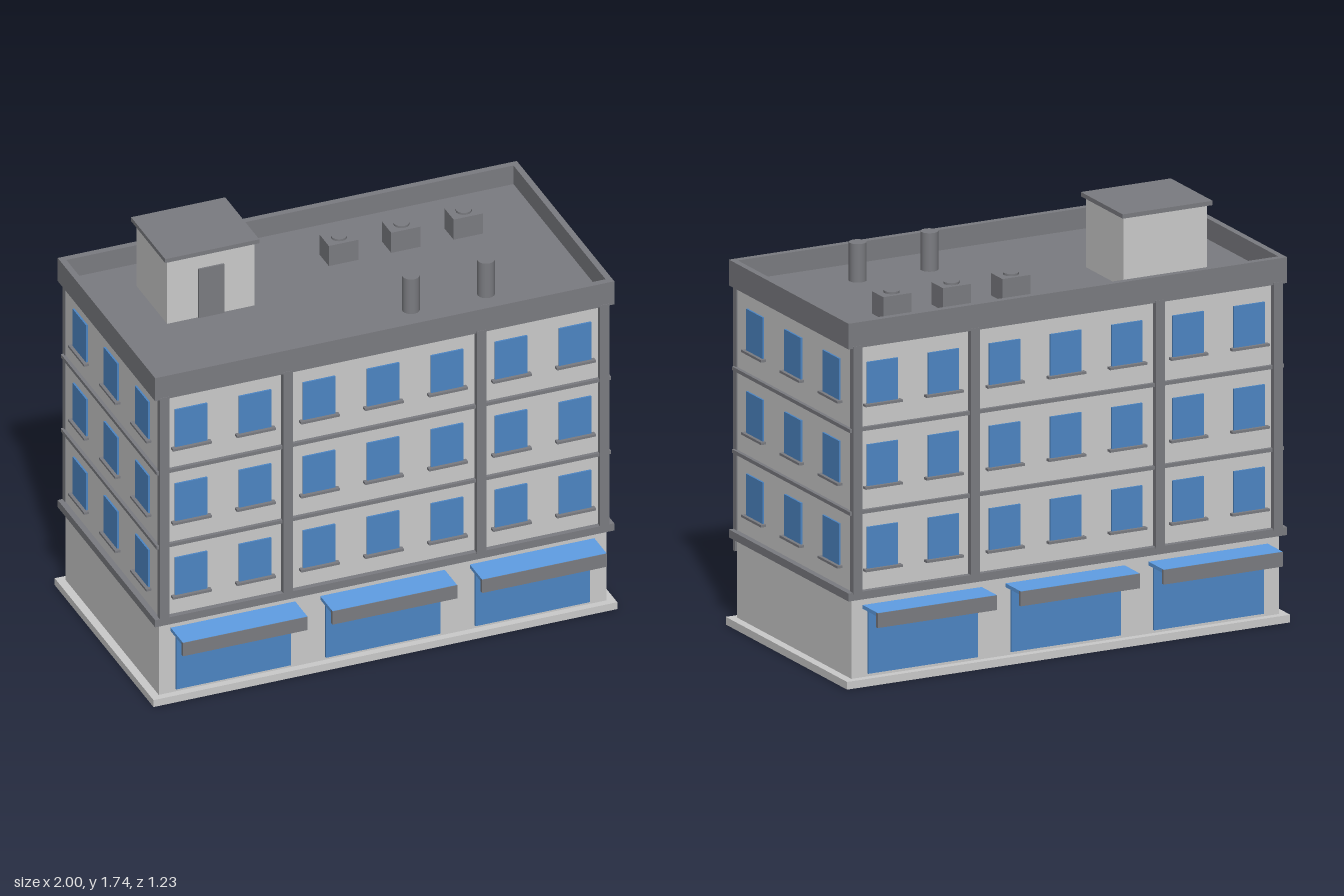
import * as THREE from 'three';

const wallMat = new THREE.MeshStandardMaterial({ color: 0xcccccc });
const trimMat = new THREE.MeshStandardMaterial({ color: 0x7b7c81 });
const glassMat = new THREE.MeshStandardMaterial({ color: 0x4d86c4 });
const awningMat = new THREE.MeshStandardMaterial({ color: 0x5f9fe5 });

// Box given by its [min, max] extent along each axis
function box(parent, name, mat, [x0, x1], [y0, y1], [z0, z1]) {
  const mesh = new THREE.Mesh(new THREE.BoxGeometry(x1 - x0, y1 - y0, z1 - z0), mat);
  mesh.position.set((x0 + x1) / 2, (y0 + y1) / 2, (z0 + z1) / 2);
  mesh.name = name;
  parent.add(mesh);
  return mesh;
}

function cylinder(parent, name, mat, r, sides, x, [y0, y1], z) {
  const mesh = new THREE.Mesh(new THREE.CylinderGeometry(r, r, y1 - y0, sides), mat);
  mesh.position.set(x, (y0 + y1) / 2, z);
  mesh.name = name;
  parent.add(mesh);
  return mesh;
}

const sym = (v) => [-v, v];
const around = (c, w) => [c - w / 2, c + w / 2];

const WX = 0.965, WZ = 0.485;          // wall half sizes
const SILLS = [0.483, 0.826, 1.169];   // window bottoms per floor

// Three rows of windows with sills on a facade lying at local z = depth
function addWindows(facade, depth, centres) {
  for (const y of SILLS) for (const x of centres) {
    box(facade, 'window', glassMat, around(x, 0.139), [y, y + 0.172], [depth - 0.01, depth + 0.008]);
    box(facade, 'windowSill', trimMat, around(x, 0.168), [y - 0.01, y], [depth - 0.01, depth + 0.022]);
  }
}

// Long facade: shopfronts, awnings, windows and pilasters
function longFacade(name) {
  const f = new THREE.Group();
  f.name = name;
  addWindows(f, WZ, [-3, -2, -1, 0, 1, 2, 3].map((i) => i * 0.276));
  for (const x of [-0.645, 0, 0.645]) {
    box(f, 'shopWindow', glassMat, around(x, 0.495), [0.045, 0.305], [WZ - 0.01, WZ + 0.008]);
    box(f, 'awningTop', awningMat, around(x, 0.537), [0.316, 0.332], [WZ - 0.01, 0.612]);
    box(f, 'awningValance', trimMat, around(x, 0.538), [0.27, 0.331], [0.6, 0.614]);
  }
  for (const x of [-0.949, -0.417, 0.417, 0.949])
    box(f, 'pilaster', trimMat, around(x, 0.041), [0.39, 1.42], [WZ - 0.003, 0.51]);
  return f;
}

function sideFacade(name) {
  const f = new THREE.Group();
  f.name = name;
  addWindows(f, WX, [-0.324, 0, 0.324]);
  return f;
}

export function createModel() {
  const g = new THREE.Group();
  g.name = 'cornerBuilding';

  // Main body
  box(g, 'plinth', wallMat, sym(1), [0, 0.032], sym(0.515));
  box(g, 'walls', wallMat, sym(WX), [0.032, 1.415], sym(WZ));
  box(g, 'shopCornice', trimMat, sym(0.99), [0.363, 0.396], sym(0.508));
  for (const y of [0.723, 1.067])
    box(g, 'floorBand', trimMat, sym(0.98), around(y, 0.015), sym(0.5));

  // Facades
  const front = longFacade('frontFacade');
  const back = longFacade('backFacade');
  back.rotation.y = Math.PI;
  const left = sideFacade('leftFacade');
  left.rotation.y = Math.PI / 2;
  const right = sideFacade('rightFacade');
  right.rotation.y = -Math.PI / 2;
  g.add(front, back, left, right);

  // Flat roof inside a parapet
  box(g, 'roofDeck', trimMat, sym(0.97), [1.411, 1.432], sym(0.485));
  for (const s of [-1, 1]) {
    const px = box(g, 'parapetLong', trimMat, sym(0.99), [1.411, 1.518], [0.48, 0.508]);
    px.position.z *= s;
    const pz = box(g, 'parapetShort', trimMat, [0.964, 0.99], [1.411, 1.518], sym(0.48));
    pz.position.x *= s;
  }

  // Stair house
  const house = new THREE.Group();
  house.name = 'stairHouse';
  box(house, 'houseWalls', wallMat, [-0.728, -0.352], [1.43, 1.727], [-0.32, 0]);
  box(house, 'houseRoof', trimMat, [-0.743, -0.337], [1.725, 1.743], [-0.34, 0.015]);
  box(house, 'houseDoor', trimMat, [-0.595, -0.485], [1.43, 1.658], [-0.01, 0.008]);
  g.add(house);

  // Cooling units with fan caps
  for (const x of [0.103, 0.372, 0.641]) {
    box(g, 'coolingUnit', trimMat, around(x, 0.127), [1.43, 1.525], around(-0.218, 0.096));
    cylinder(g, 'coolingFan', trimMat, 0.032, 16, x, [1.52, 1.534], -0.218);
  }

  // Vent pipes
  for (const x of [0.212, 0.536])
    cylinder(g, 'ventPipe', trimMat, 0.036, 16, x, [1.43, 1.592], 0.268);

  return g;
}
